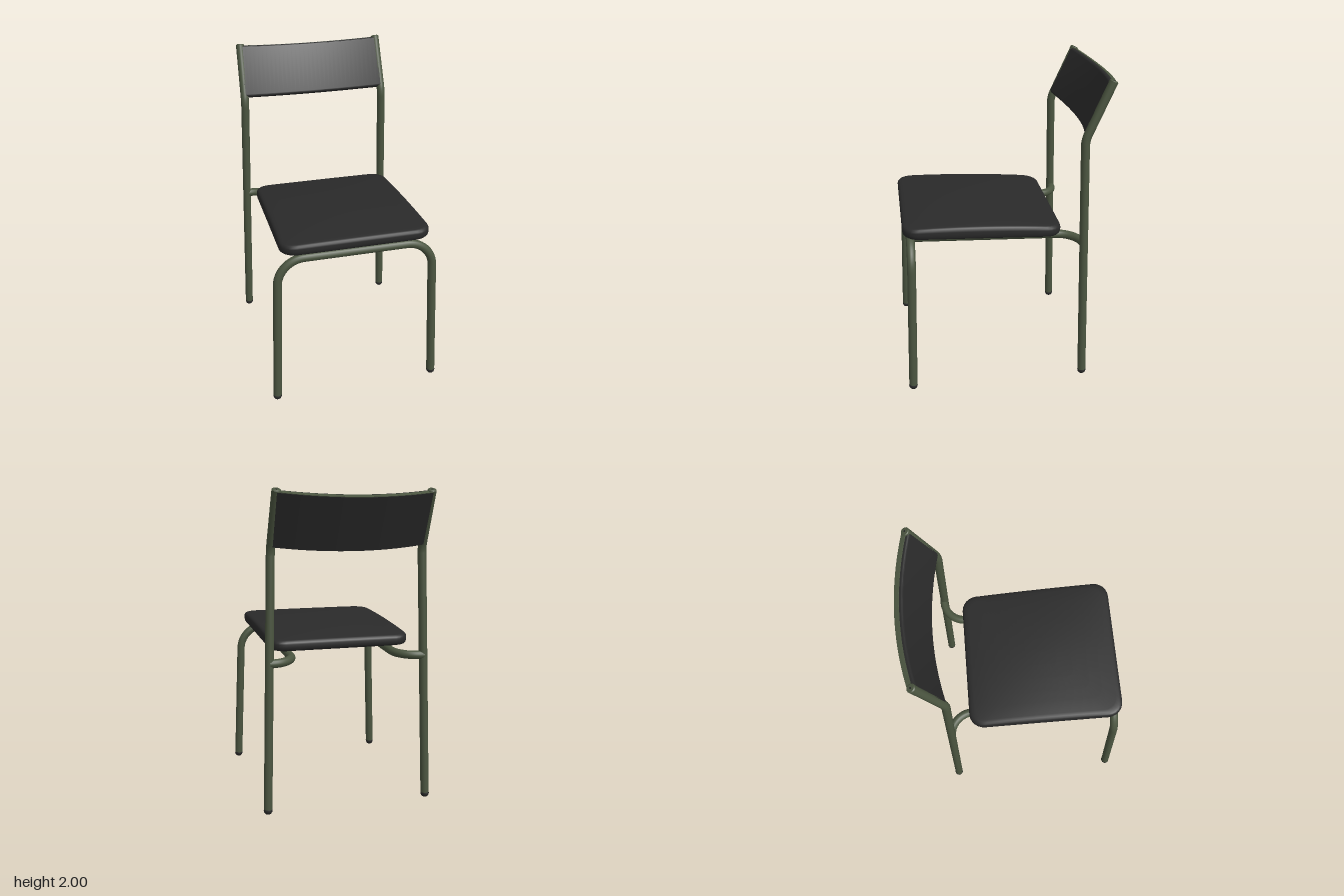
import * as THREE from 'three';
import { toCreasedNormals } from 'three/addons/utils/BufferGeometryUtils.js';

const V = (x, y, z) => new THREE.Vector3(x, y, z);
const R = 0.027;
const frameMat = new THREE.MeshStandardMaterial({ color: 0x4b5540 });
const darkMat = new THREE.MeshStandardMaterial({ color: 0x2a2a2a });

function add(parent, name, geometry, material) {
  const mesh = new THREE.Mesh(geometry, material);
  mesh.name = name;
  parent.add(mesh);
  return mesh;
}

// Bent tube through corner points; each inner corner is rounded over a given length
function bentTube(points, bends, segments) {
  const path = new THREE.CurvePath();
  let from = points[0];
  for (let i = 1; i < points.length - 1; i++) {
    const p = points[i], d = bends[i - 1];
    const back = points[i - 1].clone().sub(p).normalize();
    const ahead = points[i + 1].clone().sub(p).normalize();
    const at = (dir, k) => p.clone().addScaledVector(dir, k);
    path.add(new THREE.LineCurve3(from, at(back, d)));
    path.add(new THREE.CubicBezierCurve3(at(back, d), at(back, d * 0.45), at(ahead, d * 0.45), at(ahead, d)));
    from = at(ahead, d);
  }
  path.add(new THREE.LineCurve3(from, points[points.length - 1]));
  return new THREE.TubeGeometry(path, segments, R, 16, false);
}

// Rounded square outline as [x, z] points, with subdivided straight edges
function roundedOutline(hx, hz, r) {
  const out = [];
  const corners = [[1, 1], [-1, 1], [-1, -1], [1, -1]];
  const corner = (k, j) => {
    const [sx, sz] = corners[k % 4];
    const a = (k + j / 6) * Math.PI / 2;
    return [sx * (hx - r) + Math.cos(a) * r, sz * (hz - r) + Math.sin(a) * r];
  };
  for (let k = 0; k < 4; k++) {
    for (let j = 0; j <= 6; j++) out.push(corner(k, j));
    const a = corner(k, 6), b = corner(k + 1, 0);
    for (let j = 1; j < 10; j++) out.push([a[0] + (b[0] - a[0]) * j / 10, a[1] + (b[1] - a[1]) * j / 10]);
  }
  return out;
}

// Domed seat pad: outline rings swept along an edge profile, with a base plate underneath
function seatGeometry() {
  const profile = [ // [outline scale, height 0..1]
    [0, -0.07], [0.4, -0.07], [0.875, -0.07], [0.885, 0], [0.96, 0], [0.982, 0.06], [0.995, 0.2], [1, 0.4],
    [1, 0.66], [0.995, 0.82], [0.982, 0.93], [0.96, 0.985], [0.92, 1], [0.75, 1], [0.6, 1], [0.4, 1], [0.2, 1], [0, 1],
  ];
  const outline = roundedOutline(0.467, 0.5, 0.095);
  const n = outline.length, pos = [], index = [];
  for (const [s, h] of profile) {
    for (const [ox, oz] of outline) {
      const x = ox * s * (1 + 0.026 * oz * s), z = oz * s + 0.17;
      const dome = (1 - (ox * s / 0.47) ** 2 * 0.6) * (1 - (oz * s / 0.5) ** 2);
      pos.push(x, 1.013 + 0.0525 * z + h * (0.068 + 0.033 * dome), z);
    }
  }
  for (let j = 0; j < profile.length - 1; j++) {
    for (let i = 0; i < n; i++) {
      const a = j * n + i, b = j * n + (i + 1) % n;
      index.push(a, a + n, b, b, a + n, b + n);
    }
  }
  const g = new THREE.BufferGeometry();
  g.setAttribute('position', new THREE.Float32BufferAttribute(pos, 3));
  g.setIndex(index);
  return toCreasedNormals(g, 0.7);
}

// Board bowed backwards towards its middle, front edges rounded by r
function bowedBoard(y0, y1, zBack, zFront, r) {
  const w = 0.948;
  const shape = new THREE.Shape();
  shape.moveTo(-zBack, y0);
  shape.lineTo(-zBack, y1);
  shape.lineTo(-zFront + r, y1);
  shape.quadraticCurveTo(-zFront, y1, -zFront, y1 - r);
  shape.lineTo(-zFront, y0 + r);
  shape.quadraticCurveTo(-zFront, y0, -zFront + r, y0);
  const g = new THREE.ExtrudeGeometry(shape, { depth: w, steps: 32, bevelEnabled: false, curveSegments: 5 });
  g.translate(0, 0, -w / 2).rotateY(Math.PI / 2);
  const p = g.attributes.position;
  for (let i = 0; i < p.count; i++) {
    p.setZ(i, p.getZ(i) - 0.065 * (1 - (2 * p.getX(i) / w) ** 2));
  }
  return toCreasedNormals(g, 0.6);
}

export function createModel() {
  const model = new THREE.Group();
  model.name = 'chair';

  // Front legs and front bar in one bent tube
  add(model, 'frontLegFrame', bentTube(
    [V(-0.525, 0.025, 0.655), V(-0.489, 1.008, 0.622), V(0.489, 1.008, 0.622), V(0.525, 0.025, 0.655)],
    [0.165, 0.165], 160), frameMat);

  for (const s of [1, -1]) {
    const side = s > 0 ? 'left' : 'right';

    // Back leg running up into the tilted back post
    const top = V(s * 0.474, 1.988, -0.595), knee = V(s * 0.481, 1.64, -0.44);
    add(model, side + 'BackPost', bentTube([V(s * 0.525, 0.025, -0.475), knee, top], [0.035], 120), frameMat);

    // Closed post end with a small plug
    const axis = top.clone().sub(knee).normalize();
    const turn = new THREE.Quaternion().setFromUnitVectors(V(0, 1, 0), axis);
    const cap = add(model, side + 'PostCap', new THREE.CylinderGeometry(R * 0.8, R, 0.005, 16), frameMat);
    cap.position.copy(top).addScaledVector(axis, 0.0025);
    cap.quaternion.copy(turn);
    const plug = add(model, side + 'PostPlug', new THREE.CylinderGeometry(0.006, 0.006, 0.004, 12), darkMat);
    plug.position.copy(top).addScaledVector(axis, 0.004);
    plug.quaternion.copy(turn);

    // Seat rail curving outwards to the back leg
    add(model, side + 'SeatRail', bentTube(
      [V(s * 0.335, 1.004, 0.622), V(s * 0.335, 0.957, -0.455), V(s * 0.5, 0.955, -0.457)], [0.145], 100), frameMat);

    // Foot glides
    for (const [z, label] of [[0.655, 'Front'], [-0.475, 'Back']]) {
      const foot = add(model, side + label + 'Foot', new THREE.SphereGeometry(0.028, 16, 12), darkMat);
      foot.position.set(s * 0.525, 0.028, z);
    }
  }

  // Seat
  add(model, 'seat', seatGeometry(), darkMat);

  // Backrest: padded board with a coloured strip along the rear of its top edge
  const backrest = new THREE.Group();
  backrest.name = 'backrest';
  backrest.position.set(0, 1.826, -0.523);
  backrest.rotation.x = -0.418;
  add(backrest, 'backPanel', bowedBoard(-0.173, 0.171, -0.0275, 0.0265, 0.016), darkMat);
  add(backrest, 'backTopStrip', bowedBoard(0.168, 0.174, -0.026, 0.006, 0.001), frameMat);
  model.add(backrest);

  return model;
}
